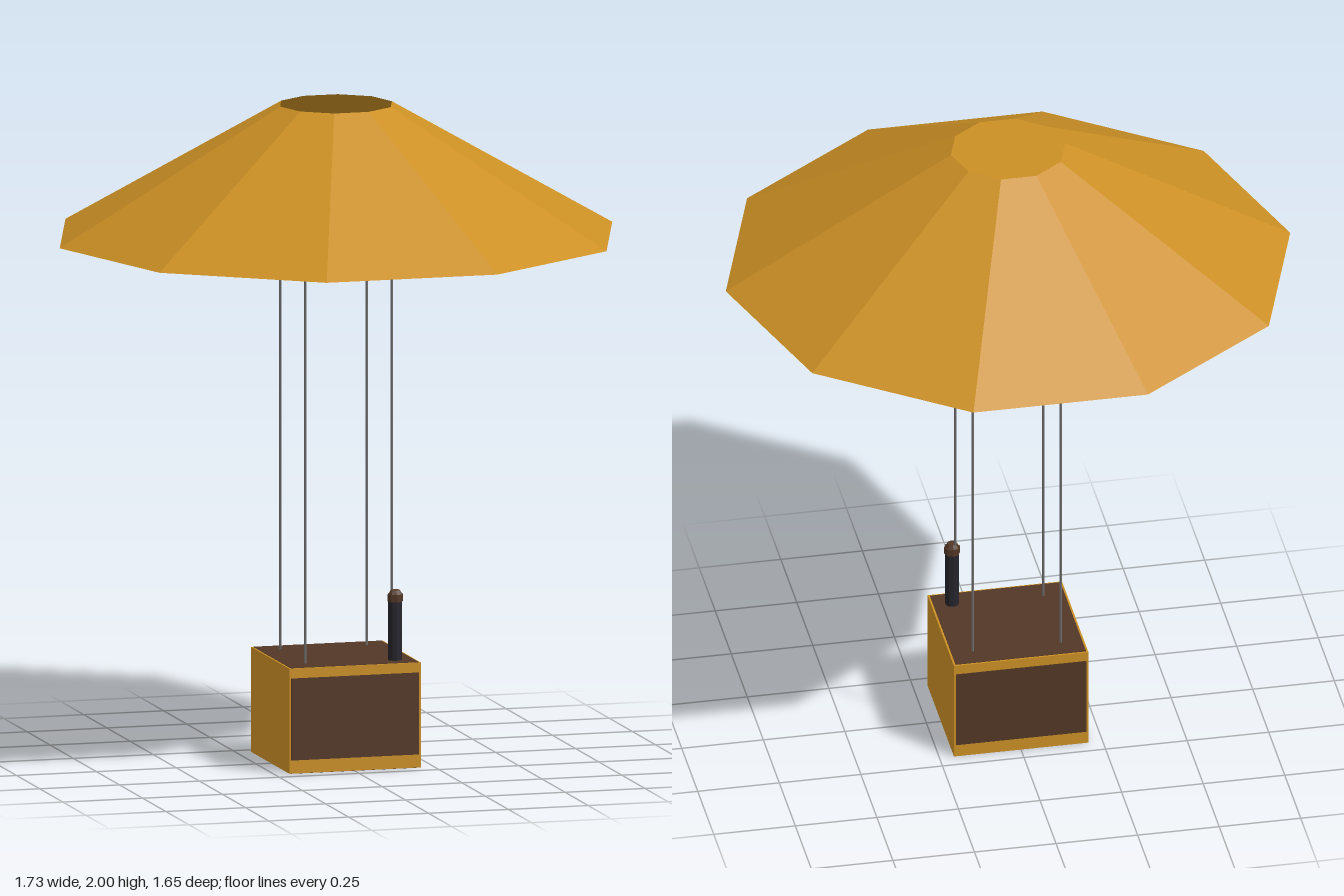
import * as THREE from 'three';

export function createModel() {
  const root = new THREE.Group();
  const material = (name, color, extra = {}) => {
    const m = new THREE.MeshStandardMaterial({ color, flatShading: true, ...extra });
    m.name = name;
    return m;
  };
  const gold = material('gold', 0xcb8f24, { side: THREE.DoubleSide });
  const brown = material('dark brown', 0x523726);
  const grey = material('cord grey', 0x6c6c6c);
  const black = material('flare black', 0x24242b);
  const add = (name, geometry, mat, x = 0, y = 0, z = 0) => {
    const mesh = new THREE.Mesh(geometry, mat);
    mesh.name = name;
    mesh.position.set(x, y, z);
    root.add(mesh);
    return mesh;
  };

  // Ten-sided canopy, open at the crown, with corners on the x axis
  const rim = 0.865, sides = 10;
  add('canopy', new THREE.CylinderGeometry(0.175, rim, 0.4, sides, 1, true, Math.PI / 2), gold, 0, 1.8, 0);

  // Flat panel closing the front half of the canopy's underside
  add('canopyUnderside', new THREE.CircleGeometry(rim, sides / 2, 0, Math.PI).rotateX(Math.PI / 2), gold, 0, 1.6, 0);

  // Crate with dark panels on the front, back, top and bottom
  const width = 0.412, height = 0.32, skin = 0.003;
  add('crate', new THREE.BoxGeometry(width, height, width), gold, 0, height / 2, 0);
  for (const s of [1, -1]) {
    const end = s > 0 ? 'front' : 'back';
    add(end + 'Panel', new THREE.BoxGeometry(0.4, 0.25, skin), brown, 0, 0.165, s * width / 2);
    const lid = s > 0 ? 'top' : 'bottom';
    add(lid + 'Panel', new THREE.BoxGeometry(0.4, skin, 0.4), brown, 0, s > 0 ? height : 0, 0);
  }

  // Four cords from the crate to the canopy
  const cord = new THREE.CylinderGeometry(0.004, 0.004, 1.3, 6);
  for (const x of [-1, 1])
    for (const z of [-1, 1])
      add('cord', cord, grey, x * 0.135, 0.965, z * 0.135);

  // Flare standing on the front left corner
  const fx = 0.143, fz = 0.145;
  add('flareBody', new THREE.CylinderGeometry(0.021, 0.021, 0.18, 10), black, fx, 0.41, fz);
  add('flareCap', new THREE.CylinderGeometry(0.024, 0.024, 0.022, 8), brown, fx, 0.511, fz);
  add('flareTip', new THREE.CylinderGeometry(0.014, 0.022, 0.013, 8), brown, fx, 0.5285, fz);

  return root;
}
